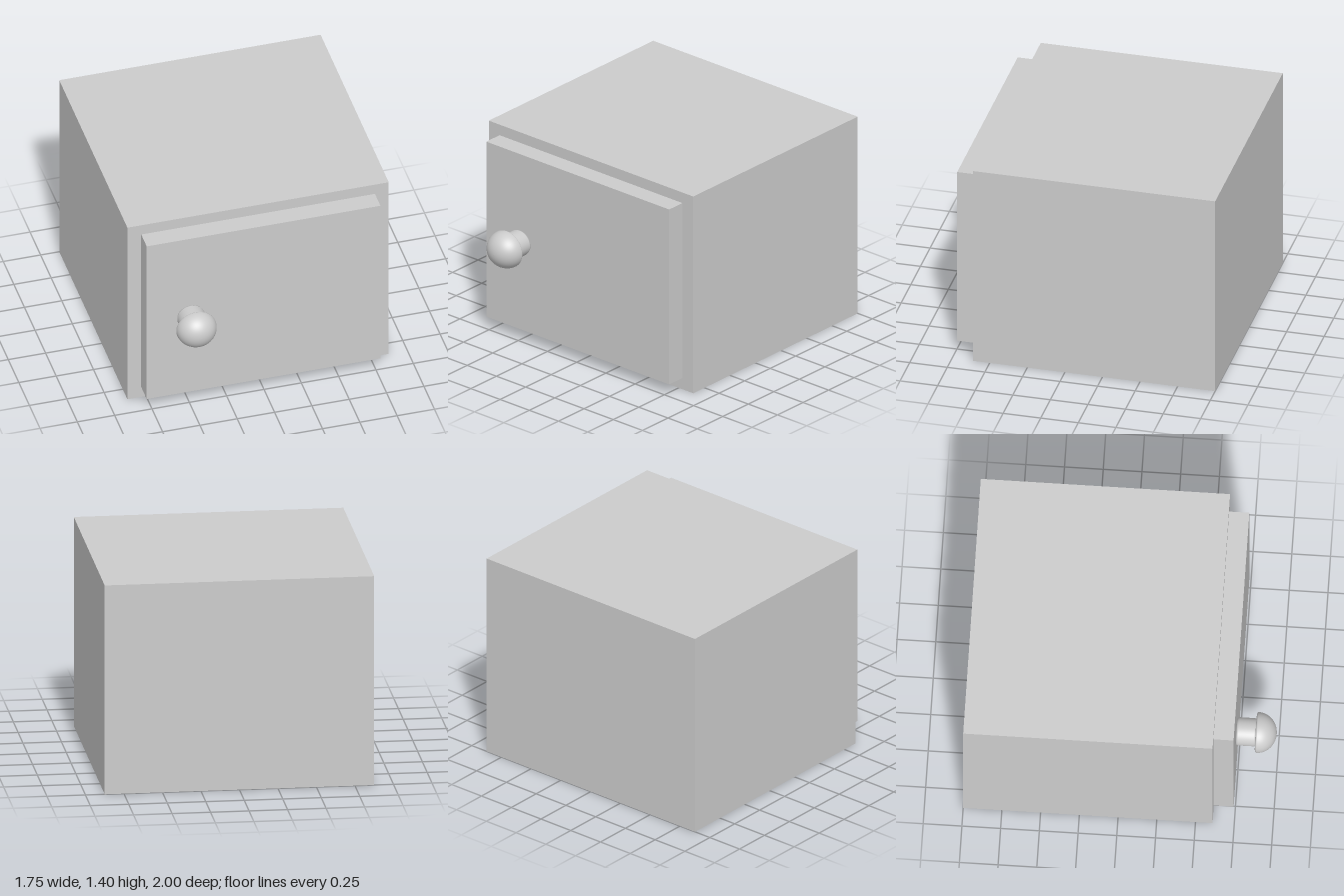
import * as THREE from 'three';

const grey = new THREE.MeshStandardMaterial({ color: 0xcccccc });

function box(name, w, h, d, x, y, z) {
  const mesh = new THREE.Mesh(new THREE.BoxGeometry(w, h, d), grey);
  mesh.name = name;
  mesh.position.set(x, y, z);
  return mesh;
}

// Turned part: the profile runs along +z after rotation
function turned(name, points) {
  const geometry = new THREE.LatheGeometry(points.map(([r, h]) => new THREE.Vector2(r, h)), 48);
  geometry.rotateX(Math.PI / 2);
  const mesh = new THREE.Mesh(geometry, grey);
  mesh.name = name;
  return mesh;
}

export function createModel() {
  const model = new THREE.Group();
  model.name = 'cabinet';

  // Closed case and the raised door on its front
  model.add(box('cabinetBody', 1.75, 1.4, 1.61, 0, 0.7, -0.195));
  model.add(box('door', 1.565, 1.245, 0.13, 0, 0.7025, 0.675));

  // Knob, slightly flattened vertically
  const knob = new THREE.Group();
  knob.name = 'knob';
  knob.position.set(-0.49, 0.7, 0.74);
  knob.scale.y = 0.945;

  // Stem with softened ends
  knob.add(turned('knobStem', [
    [0, 0], [0.08, 0], [0.089, 0.004], [0.092, 0.014],
    [0.092, 0.116], [0.089, 0.126], [0.08, 0.13], [0, 0.13],
  ]));

  // Domed head: flat underside, rounded rim, quarter-arc to the tip
  const head = [[0, 0.125], [0.115, 0.125], [0.126, 0.127], [0.132, 0.132]];
  for (let i = 0; i <= 16; i++) {
    const a = (i / 16) * Math.PI / 2;
    head.push([0.133 * Math.cos(a), 0.137 + 0.123 * Math.sin(a)]);
  }
  knob.add(turned('knobHead', head));
  model.add(knob);

  return model;
}
